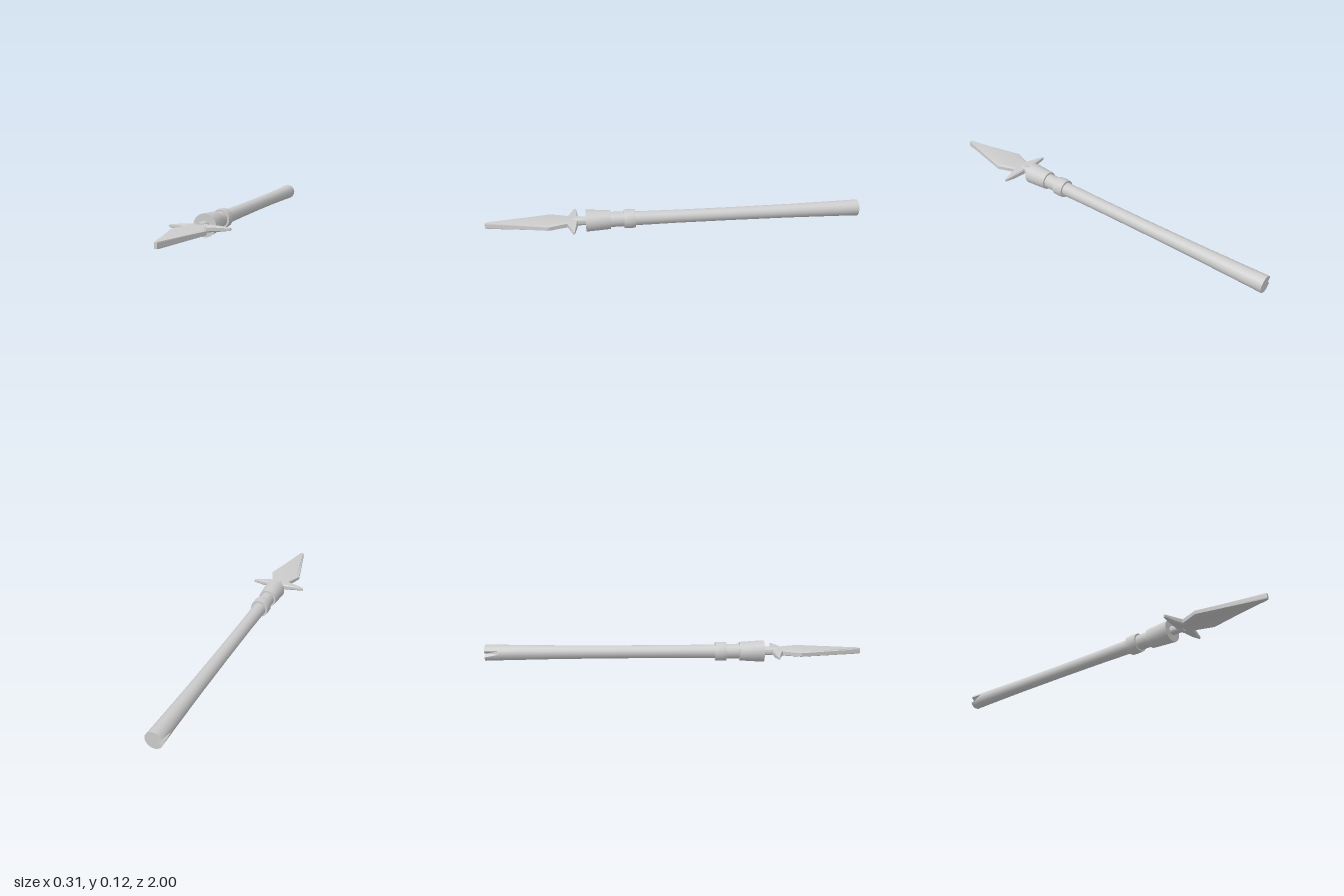
import * as THREE from 'three';
import { toCreasedNormals } from 'three/addons/utils/BufferGeometryUtils.js';

const AXIS_Y = 0.06;
const material = new THREE.MeshStandardMaterial({ color: 0xcccccc });

function addPart(group, name, geometry, crease = 0.6) {
  const mesh = new THREE.Mesh(toCreasedNormals(geometry.toNonIndexed(), crease), material);
  mesh.name = name;
  mesh.position.y = AXIS_Y;
  group.add(mesh);
  return mesh;
}

// Round part along z from [radius, z] pairs, listed from back to front.
function turned(profile) {
  const points = profile.map(([r, z]) => new THREE.Vector2(r, z));
  return new THREE.LatheGeometry(points, 16).rotateX(Math.PI / 2);
}

// Skin over equal-sized rings of [x, y, z] corners, closed by a fan at each end.
function loft(rings) {
  const n = rings[0].length;
  const positions = rings.flat(2);
  const index = [];
  for (let r = 0; r < rings.length - 1; r++) {
    for (let i = 0; i < n; i++) {
      const a = r * n + i, b = r * n + (i + 1) % n;
      index.push(a, b, b + n, a, b + n, a + n);
    }
  }
  const last = (rings.length - 1) * n;
  for (let i = 1; i < n - 1; i++) {
    index.push(0, i + 1, i, last, last + i, last + i + 1);
  }
  const geometry = new THREE.BufferGeometry();
  geometry.setAttribute('position', new THREE.Float32BufferAttribute(positions, 3));
  geometry.setIndex(index);
  return geometry;
}

// Bevelled flat section: half width w, half thickness t, edge half thickness e.
function flatSection(w, t, e) {
  const k = w * 0.8;
  return [[w, -e], [w, e], [k, t], [-k, t], [-w, e], [-w, -e], [-k, -t], [k, -t]];
}

export function createModel() {
  const group = new THREE.Group();
  group.name = 'spear';

  // Shaft flares towards the butt, where a small split opens on one side.
  const shaft = turned([
    [0, -1], [0.044, -1], [0.042, -0.92], [0.04, -0.8], [0.037, -0.62],
    [0.035, -0.3], [0.035, 0], [0.037, 0.2], [0.04, 0.3], [0.04, 0.4],
  ]);
  const p = shaft.attributes.position;
  for (let i = 0; i < p.count; i++) {
    if (p.getZ(i) < -0.99 && p.getX(i) < -0.042) p.setX(i, -0.022);
  }
  addPart(group, 'shaft', shaft);

  // Binding ring and flared socket
  addPart(group, 'ring', turned([
    [0.036, 0.22], [0.049, 0.22], [0.051, 0.25], [0.049, 0.28], [0.036, 0.28],
  ]));
  addPart(group, 'socket', turned([
    [0, 0.35], [0.05, 0.35], [0.054, 0.41], [0.058, 0.48], [0, 0.48],
  ]));
  addPart(group, 'tang', turned([
    [0, 0.46], [0.023, 0.46], [0.023, 0.55], [0, 0.55],
  ]));

  // Leaf-shaped blade: [z, half width, half thickness, edge half thickness]
  const blade = [
    [0.525, 0.04, 0.015, 0.012], [0.575, 0.05, 0.015, 0.01],
    [0.67, 0.086, 0.015, 0.009], [0.99, 0.011, 0.015, 0.009],
    [1, 0.007, 0.013, 0.008],
  ].map(([z, w, t, e]) => flatSection(w, t, e).map(([x, y]) => [x, y, z]));
  addPart(group, 'blade', loft(blade), 0.35);

  // Swept side prongs: [x, back z, front z, half thickness]
  const prong = [
    [0, 0.522, 0.59, 0.015], [0.05, 0.523, 0.576, 0.015],
    [0.1, 0.528, 0.559, 0.012], [0.153, 0.536, 0.545, 0.006],
  ];
  for (const [side, name] of [[1, 'leftProng'], [-1, 'rightProng']]) {
    const rings = prong.map(([x, back, front, t]) => {
      const ring = flatSection((front - back) / 2, t, t * 0.6)
        .map(([z, y]) => [side * x, y, (back + front) / 2 + z]);
      return side > 0 ? ring.reverse() : ring;
    });
    addPart(group, name, loft(rings), 0.35);
  }
  return group;
}
